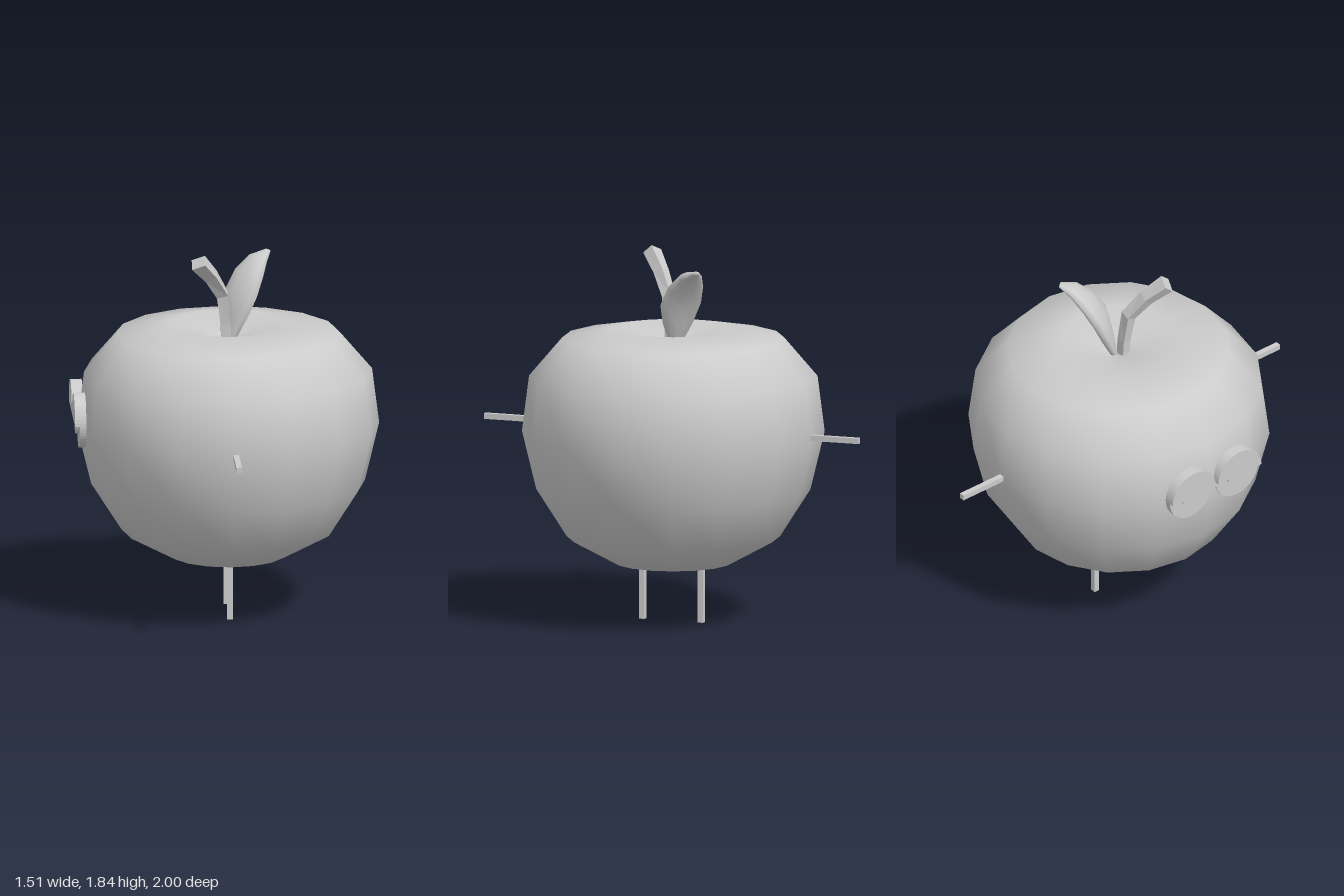
import * as THREE from 'three';

const grey = new THREE.MeshStandardMaterial({ color: 0xcccccc });
const flatGrey = new THREE.MeshStandardMaterial({ color: 0xcccccc, flatShading: true });

function add(parent, name, geometry, material, x = 0, y = 0, z = 0) {
  const mesh = new THREE.Mesh(geometry, material);
  mesh.name = name;
  mesh.position.set(x, y, z);
  parent.add(mesh);
  return mesh;
}

// Closed loft: elliptical rings [x, y, z, halfWidth, halfDepth] set square to the path
function loft(sections, sides, widthAxis, turn = 0) {
  const points = sections.map(([x, y, z]) => new THREE.Vector3(x, y, z));
  const last = sections.length - 1;
  const position = [];
  const index = [];
  points.forEach((p, k) => {
    const t = points[Math.min(k + 1, last)].clone().sub(points[Math.max(k - 1, 0)]).normalize();
    const a = widthAxis.clone().addScaledVector(t, -widthAxis.dot(t)).normalize();
    const b = t.clone().cross(a);
    const [, , , w, d] = sections[k];
    for (let i = 0; i < sides; i++) {
      const angle = turn + (i / sides) * Math.PI * 2;
      const v = p.clone().addScaledVector(a, w * Math.cos(angle)).addScaledVector(b, d * Math.sin(angle));
      position.push(v.x, v.y, v.z);
      if (k < last) {
        const j = (i + 1) % sides;
        const r = k * sides;
        index.push(r + i, r + j, r + sides + i, r + j, r + sides + j, r + sides + i);
      }
    }
  });
  const end = last * sides;
  for (let i = 1; i < sides - 1; i++) {
    index.push(0, i + 1, i, end, end + i, end + i + 1);
  }
  const geometry = new THREE.BufferGeometry();
  geometry.setAttribute('position', new THREE.Float32BufferAttribute(position, 3));
  geometry.setIndex(index);
  geometry.computeVertexNormals();
  return geometry;
}

// Disc or upper half disc, extruded toward -x when turned
function disc(radius, depth, half) {
  const shape = new THREE.Shape();
  shape.absarc(0, 0, radius, 0, half ? Math.PI : Math.PI * 2, false);
  shape.closePath();
  return new THREE.ExtrudeGeometry(shape, { depth, bevelEnabled: false, curveSegments: half ? 12 : 24 });
}

export function createModel() {
  const model = new THREE.Group();
  model.name = 'appleFigure';
  const cx = 0.008;
  const cz = -0.007;

  // Apple body with a dimpled top
  const profile = [
    [0, 0.275], [0.287, 0.29], [0.525, 0.42], [0.675, 0.655], [0.745, 0.945],
    [0.71, 1.22], [0.547, 1.41], [0.287, 1.457], [0, 1.37],
  ].map(([r, y]) => new THREE.Vector2(r, y));
  add(model, 'body', new THREE.LatheGeometry(profile, 16), grey, cx, 0, cz);

  // Stem: square section, bending up and outward
  const stem = [
    [0, 1.35, 0.012, 0.035, 0.03],
    [-0.005, 1.46, 0.015, 0.035, 0.03],
    [-0.022, 1.61, 0.03, 0.04, 0.035],
    [-0.08, 1.72, 0.095, 0.043, 0.038],
    [-0.147, 1.808, 0.172, 0.052, 0.042],
  ];
  add(model, 'stem', loft(stem, 4, new THREE.Vector3(1, 0, 0), Math.PI / 4), flatGrey);

  // Leaf: rounded blade leaning the other way; rows are [outward, y, halfWidth, halfDepth]
  const leaf = [
    [0.03, 1.36, 0.02, 0.015], [0.07, 1.49, 0.08, 0.03], [0.105, 1.59, 0.108, 0.036],
    [0.165, 1.68, 0.095, 0.036], [0.235, 1.745, 0.06, 0.028], [0.303, 1.772, 0.02, 0.01],
  ].map(([s, y, w, d]) => [s * Math.SQRT1_2, y, -s * Math.SQRT1_2, w, d]);
  add(model, 'leaf', loft(leaf, 10, new THREE.Vector3(1, 0, 1).normalize()), grey);

  // Arms and legs: thin square rods
  for (const [side, s] of [['front', 1], ['back', -1]]) {
    add(model, side + 'Arm', new THREE.BoxGeometry(0.028, 0.028, 0.32), grey, cx, 0.957, s * 0.84);
    add(model, side + 'Leg', new THREE.BoxGeometry(0.028, 0.36, 0.028), grey, cx, 0.18, s * 0.157);
  }

  // Eyes on the -x side: eyeball, pupil and half-closed lid
  for (const [name, z] of [['backEye', -0.15], ['frontEye', 0.138]]) {
    const eye = new THREE.Group();
    eye.name = name;
    eye.position.set(-0.705, 1.01, z);
    eye.rotation.y = -Math.PI / 2;
    add(eye, 'eyeball', disc(0.134, 0.032, false), grey);
    add(eye, 'pupil', disc(0.064, 0.042, false), grey);
    add(eye, 'eyelid', disc(0.136, 0.056, true), grey);
    model.add(eye);
  }

  return model;
}
